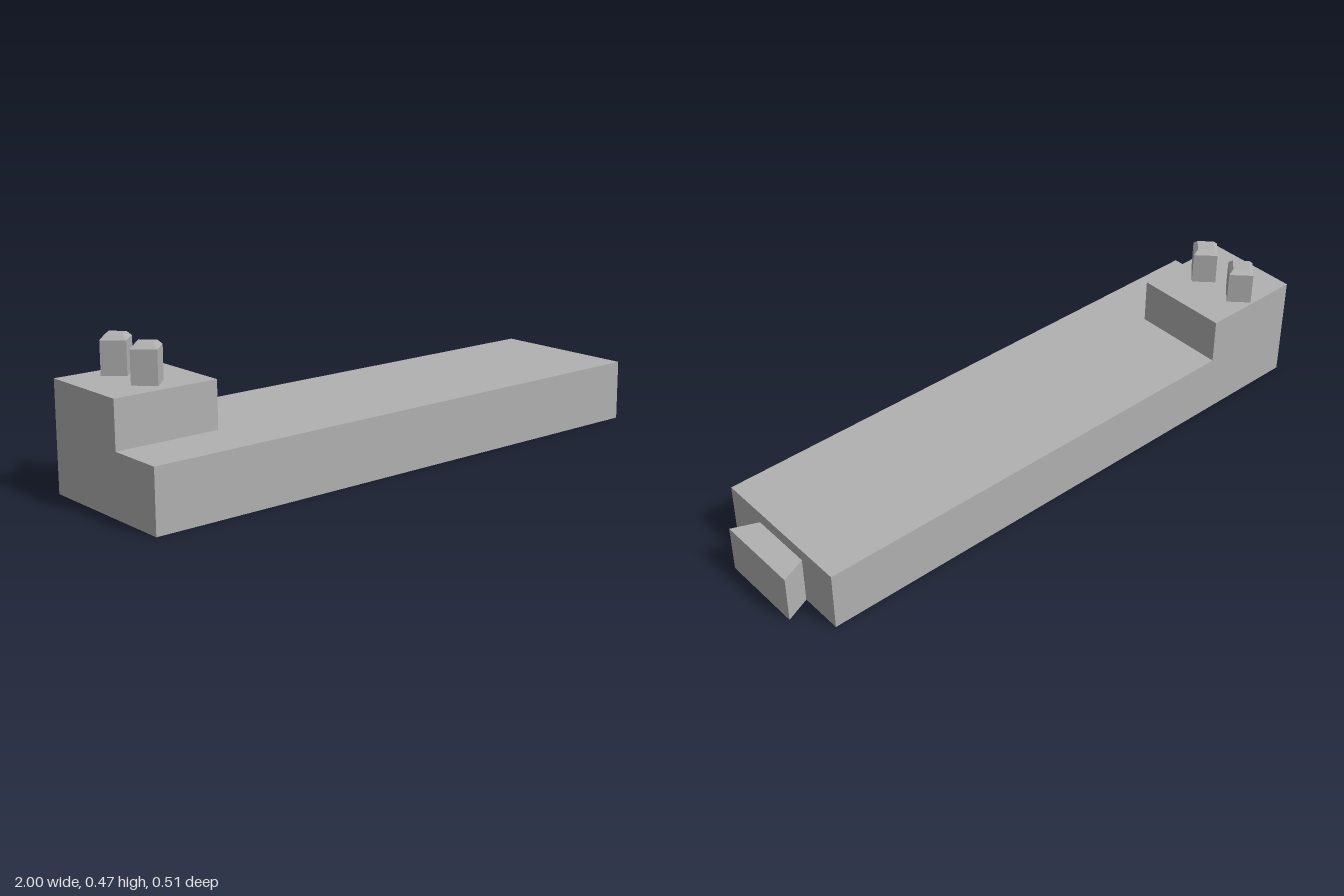
import * as THREE from 'three';

const grey = new THREE.MeshStandardMaterial({ color: 0xb1b1b1 });
grey.name = 'grey';

// Closed outline from [x, z] points, laid out so that extrusion runs upwards
function outline(points, Type = THREE.Shape) {
  return new Type(points.map(([x, z]) => new THREE.Vector2(x, -z)));
}

function rect(x0, x1, z0, z1) {
  return [[x0, z0], [x0, z1], [x1, z1], [x1, z0]];
}

// Upright prism over a plan, from y0 to y1, with optional pockets through it
function prism(name, points, y0, y1, pockets = []) {
  const shape = outline(points);
  shape.holes = pockets.map((p) => outline(p, THREE.Path));
  const geometry = new THREE.ExtrudeGeometry(shape, { depth: y1 - y0, bevelEnabled: false });
  geometry.rotateX(-Math.PI / 2).translate(0, y0, 0);
  const mesh = new THREE.Mesh(geometry, grey);
  mesh.name = name;
  return mesh;
}

export function createModel() {
  const model = new THREE.Group();
  model.name = 'slottedBase';

  // Hollow base: rim with a wide and a narrow pocket open below, closed by a deck
  const plan = rect(-1, 0.915, -0.256, 0.256);
  const pockets = [rect(-0.97, 0.82, -0.226, 0.04), rect(-0.97, 0.82, 0.13, 0.183)];
  model.add(prism('baseRim', plan, 0, 0.165, pockets));
  model.add(prism('baseDeck', plan, 0.165, 0.2));

  // Dovetail connector on the end
  const tail = [[0.915, -0.108], [0.915, 0.108], [1, 0.144], [1, -0.144]];
  model.add(prism('dovetail', tail, 0, 0.16));

  // Raised block at the back corner
  model.add(prism('raisedBlock', rect(-1, -0.65, -0.256, 0.065), 0.2, 0.352));

  // Two diamond pegs with bevelled tops
  for (const z of [-0.032, -0.193]) {
    const peg = new THREE.Group();
    peg.name = 'peg';
    const parts = [['pegShaft', 0.056, 0.056, 0.352, 0.458], ['pegBevel', 0.038, 0.056, 0.458, 0.473]];
    for (const [name, top, bottom, y0, y1] of parts) {
      const geometry = new THREE.CylinderGeometry(top, bottom, y1 - y0, 4).toNonIndexed();
      geometry.computeVertexNormals();
      const mesh = new THREE.Mesh(geometry, grey);
      mesh.name = name;
      mesh.position.y = (y0 + y1) / 2;
      peg.add(mesh);
    }
    peg.position.set(-0.825, 0, z);
    model.add(peg);
  }
  return model;
}
